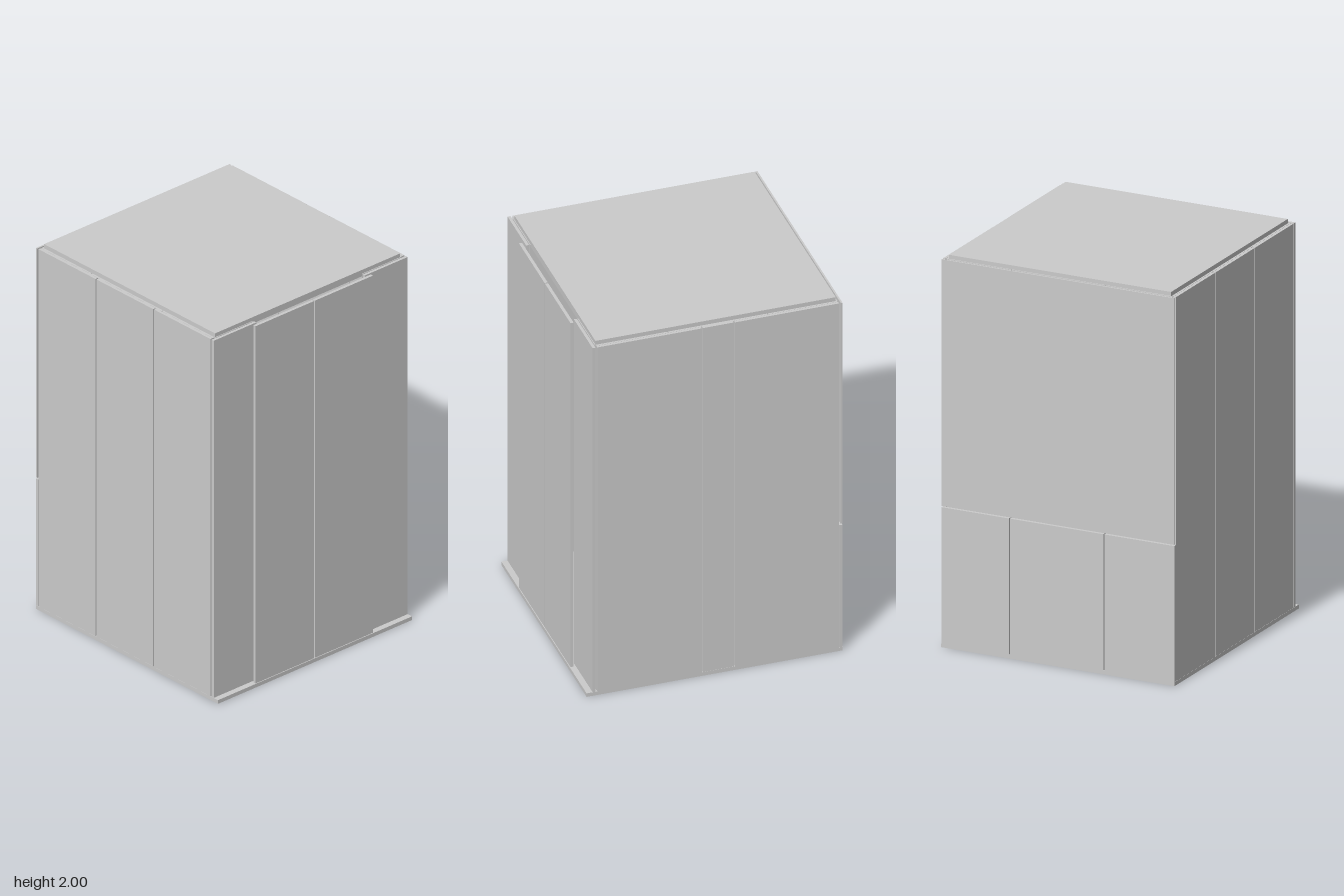
import * as THREE from 'three';

const material = new THREE.MeshStandardMaterial({ color: 0xcccccc, flatShading: true });

export function createModel() {
  const cabin = new THREE.Group();
  cabin.name = 'liftCabin';

  // Box given by its limits on each axis
  function block(name, [x0, x1], [y0, y1], [z0, z1]) {
    const mesh = new THREE.Mesh(new THREE.BoxGeometry(x1 - x0, y1 - y0, z1 - z0), material);
    mesh.position.set((x0 + x1) / 2, (y0 + y1) / 2, (z0 + z1) / 2);
    mesh.name = name;
    cabin.add(mesh);
    return mesh;
  }

  // Row of panels between cuts, with a narrow joint at each inner cut
  function panelRow(name, cuts, place, joint = 0.006) {
    for (let i = 0; i < cuts.length - 1; i++) {
      const a = cuts[i] + (i > 0 ? joint / 2 : 0);
      const b = cuts[i + 1] - (i < cuts.length - 2 ? joint / 2 : 0);
      block(name, ...place([a, b]));
    }
  }

  const tall = [0.02, 1.98];

  // Floor with projecting door sill, and ceiling
  block('floor', [-0.655, 0.652], [0, 0.02], [-0.634, 0.634]);
  block('ceiling', [-0.63, 0.597], [1.965, 2], [-0.605, 0.603]);

  // Inner lining on all four sides
  const crossCuts = [-0.632, -0.28, 0.23, 0.598];
  const depthCuts = [-0.615, -0.263, 0.25, 0.615];
  for (const z of [[-0.618, -0.608], [0.606, 0.616]])
    panelRow('innerLining', crossCuts, (x) => [x, tall, z], 0.004);
  panelRow('leftLining', depthCuts, (z) => [[-0.637, -0.631], tall, z], 0.004);
  for (const z of [[-0.606, -0.355], [0.355, 0.606]])
    block('doorSideLining', [0.598, 0.602], tall, z);

  // Outer front wall: three panels
  panelRow('frontWallPanel', [-0.637, -0.225, 0.19, 0.597], (x) => [x, tall, [0.617, 0.633]], 0.007);

  // Outer back wall: two wide panels around a bevelled control column
  panelRow('backWallPanel', [-0.637, -0.106], (x) => [x, tall, [-0.634, -0.619]]);
  panelRow('backWallPanel', [0.064, 0.597], (x) => [x, tall, [-0.634, -0.619]]);
  const section = new THREE.Shape([
    new THREE.Vector2(-0.1, 0.633), new THREE.Vector2(-0.1, 0.62), new THREE.Vector2(-0.09, 0.612),
    new THREE.Vector2(0.05, 0.612), new THREE.Vector2(0.058, 0.62), new THREE.Vector2(0.058, 0.633),
  ]);
  const column = new THREE.Mesh(
    new THREE.ExtrudeGeometry(section, { depth: 1.96, bevelEnabled: false }).rotateX(-Math.PI / 2), material);
  column.position.y = 0.02;
  column.name = 'controlColumn';
  cabin.add(column);

  // Left wall: lower panels and one wide upper panel standing off on clips
  panelRow('lowerLeftPanel', [-0.633, -0.263, 0.25, 0.633], (z) => [[-0.655, -0.639], [0.02, 0.715], z]);
  block('upperLeftPanel', [-0.655, -0.646], [0.722, 1.98], [-0.633, 0.633]);
  for (const z of [-0.53, 0.535]) {
    block('panelClip', [-0.647, -0.636], [0.75, 0.76], [z - 0.02, z + 0.02]);
    block('panelClip', [-0.647, -0.636], [0.765, 0.8], [z - 0.012, z + 0.012]);
  }

  // Entrance side: fixed returns and two sliding door leaves
  for (const z of [[-0.633, -0.355], [0.355, 0.633]])
    block('entranceReturn', [0.606, 0.621], tall, z);
  panelRow('doorLeaf', [-0.383, 0, 0.385], (z) => [[0.632, 0.648], tall, z]);

  return cabin;
}
